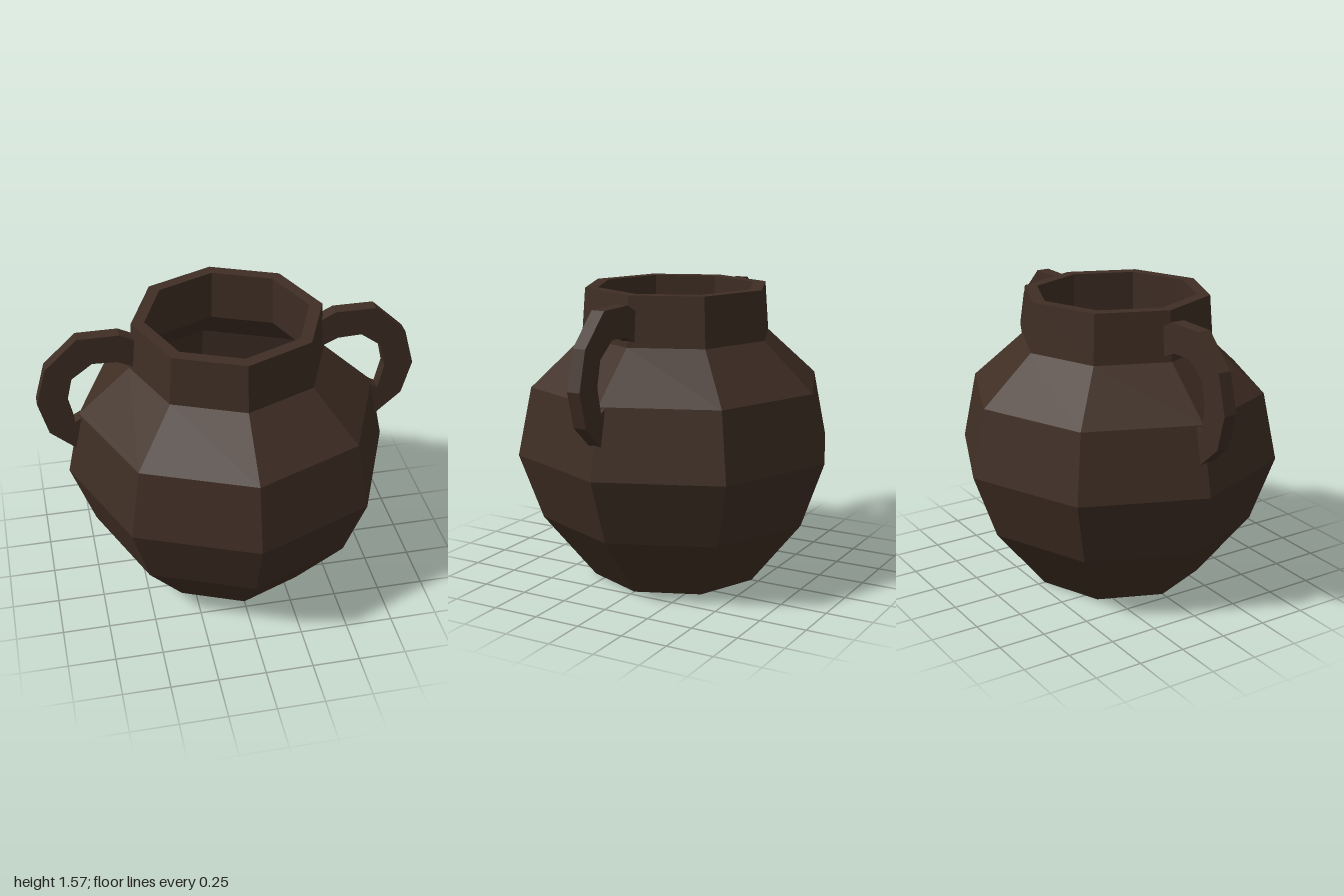
import * as THREE from 'three';

export function createModel() {
  const model = new THREE.Group();
  model.name = 'pot';
  const clay = new THREE.MeshStandardMaterial({ color: 0x3f2e24, flatShading: true });
  clay.name = 'dark brown clay';

  // Eight-sided hollow body: up the outside, over the rim, down the inside
  const profile = [
    [0, 0], [0.46, 0], [0.74, 0.35], [0.865, 0.7], [0.79, 1.06], [0.515, 1.31], [0.495, 1.57],
    [0.427, 1.57], [0.44, 1.29], [0.71, 1.04], [0.785, 0.7], [0.67, 0.38], [0.44, 0.07], [0, 0.07],
  ].map(([r, y]) => new THREE.Vector2(r, y));
  const body = new THREE.Mesh(new THREE.LatheGeometry(profile, 8), clay);
  body.name = 'body';
  model.add(body);

  // Flat curved handle, its ends sunk slightly into the neck and shoulder
  const outline = [
    [0.48, 1.49], [0.56, 1.53], [0.775, 1.53], [0.945, 1.37], [1, 1.17], [0.95, 0.985], [0.82, 0.87],
    [0.78, 1.055], [0.815, 1.035], [0.845, 1.17], [0.815, 1.3], [0.705, 1.38], [0.58, 1.375], [0.48, 1.33],
  ].map(([x, y]) => new THREE.Vector2(x, y));
  const handleGeometry = new THREE.ExtrudeGeometry(new THREE.Shape(outline), { depth: 0.07, bevelEnabled: false });
  handleGeometry.translate(0, 0, -0.035);

  for (const [name, turn] of [['leftHandle', 0], ['rightHandle', Math.PI]]) {
    const handle = new THREE.Mesh(handleGeometry, clay);
    handle.name = name;
    handle.rotation.y = turn;
    model.add(handle);
  }
  return model;
}
